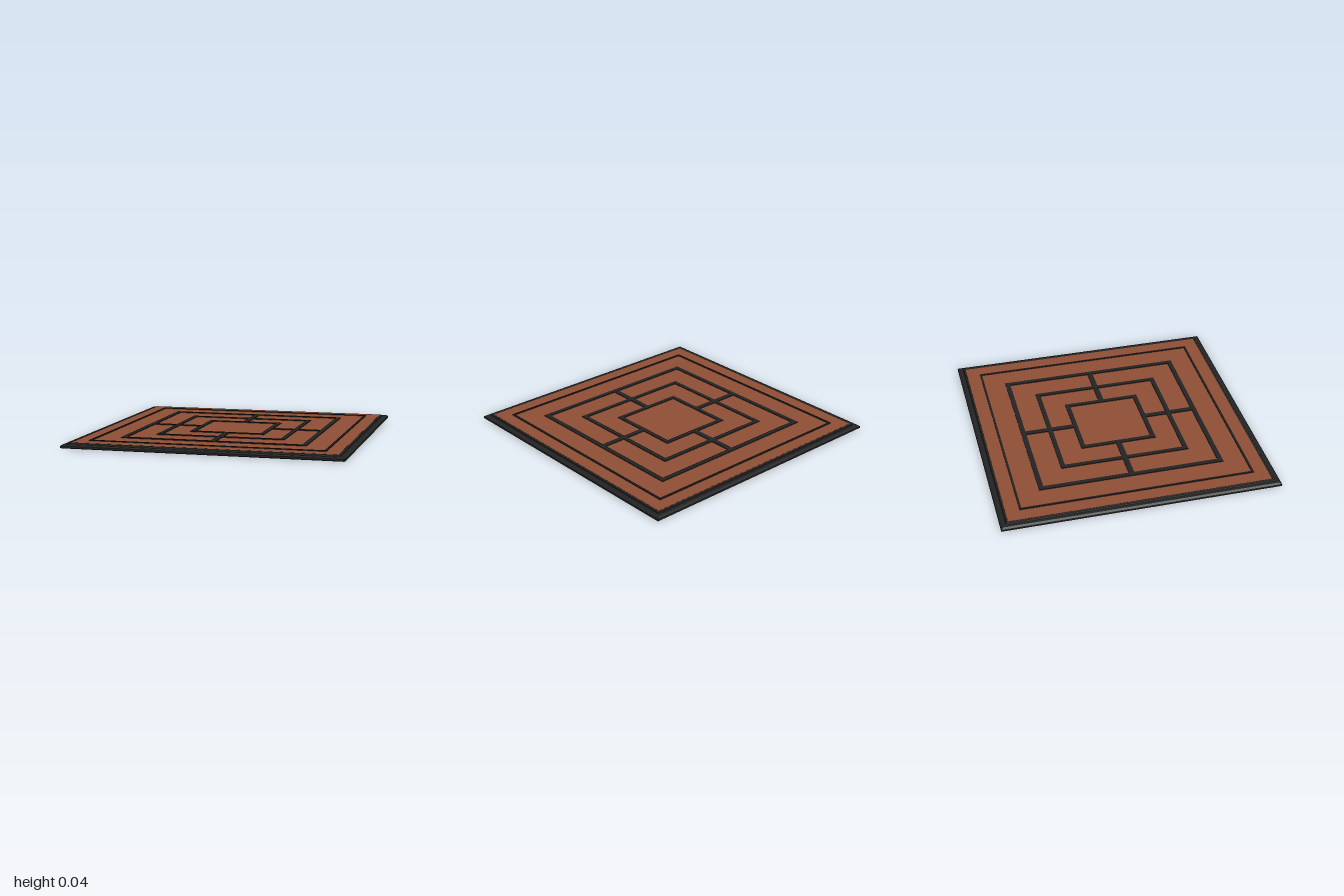
import * as THREE from 'three';

const SURFACE = 0.036; // height of the playing surface

export function createModel() {
  const board = new THREE.Group();
  board.name = 'gameBoard';

  const black = new THREE.MeshStandardMaterial({ color: 0x232323 });
  black.name = 'black';
  const terracotta = new THREE.MeshStandardMaterial({ color: 0x8f4f36 });
  terracotta.name = 'terracotta';

  const add = (name, geometry, material, parent = board) => {
    const mesh = new THREE.Mesh(geometry, material);
    mesh.name = name;
    parent.add(mesh);
    return mesh;
  };

  // Square base with a bevelled rim and a raised step: [half width, height]
  const profile = [
    [0, 0], [0.99, 0], [1, 0.005], [1, 0.018], [0.985, 0.027],
    [0.96, 0.027], [0.957, 0.032], [0.945, 0.035], [0, 0.035],
  ].map(([half, y]) => new THREE.Vector2(half * Math.SQRT2, y));
  const baseGeometry = new THREE.LatheGeometry(profile, 4).rotateY(Math.PI / 4).toNonIndexed();
  baseGeometry.computeVertexNormals();
  add('base', baseGeometry, black);

  // Thin coloured playing surface
  add('playingSurface', new THREE.BoxGeometry(1.886, 0.002, 1.886), terracotta)
    .position.y = SURFACE - 0.001;

  // Raised square outlines
  const square = (half) => [
    [-half, -half], [half, -half], [half, half], [-half, half],
  ].map(([x, y]) => new THREE.Vector2(x, y));
  const outline = (name, outer, inner, height) => {
    const shape = new THREE.Shape(square(outer));
    shape.holes.push(new THREE.Path(square(inner).reverse()));
    const geometry = new THREE.ExtrudeGeometry(shape, { depth: height, bevelEnabled: false });
    add(name, geometry.rotateX(-Math.PI / 2), black).position.y = SURFACE;
  };
  outline('borderLine', 0.845, 0.83, 0.006);
  outline('outerSquare', 0.673, 0.638, 0.005);
  outline('middleSquare', 0.472, 0.439, 0.005);
  outline('innerSquare', 0.28, 0.247, 0.005);

  // Four lines joining the midpoints of the squares
  for (let i = 0; i < 4; i++) {
    const arm = new THREE.Group();
    arm.name = 'connector' + (i + 1);
    arm.rotation.y = i * Math.PI / 2;
    board.add(arm);
    add('connectorLine', new THREE.BoxGeometry(0.04, 0.0048, 0.39), black, arm)
      .position.set(0, SURFACE + 0.0024, 0.45);
  }

  return board;
}
